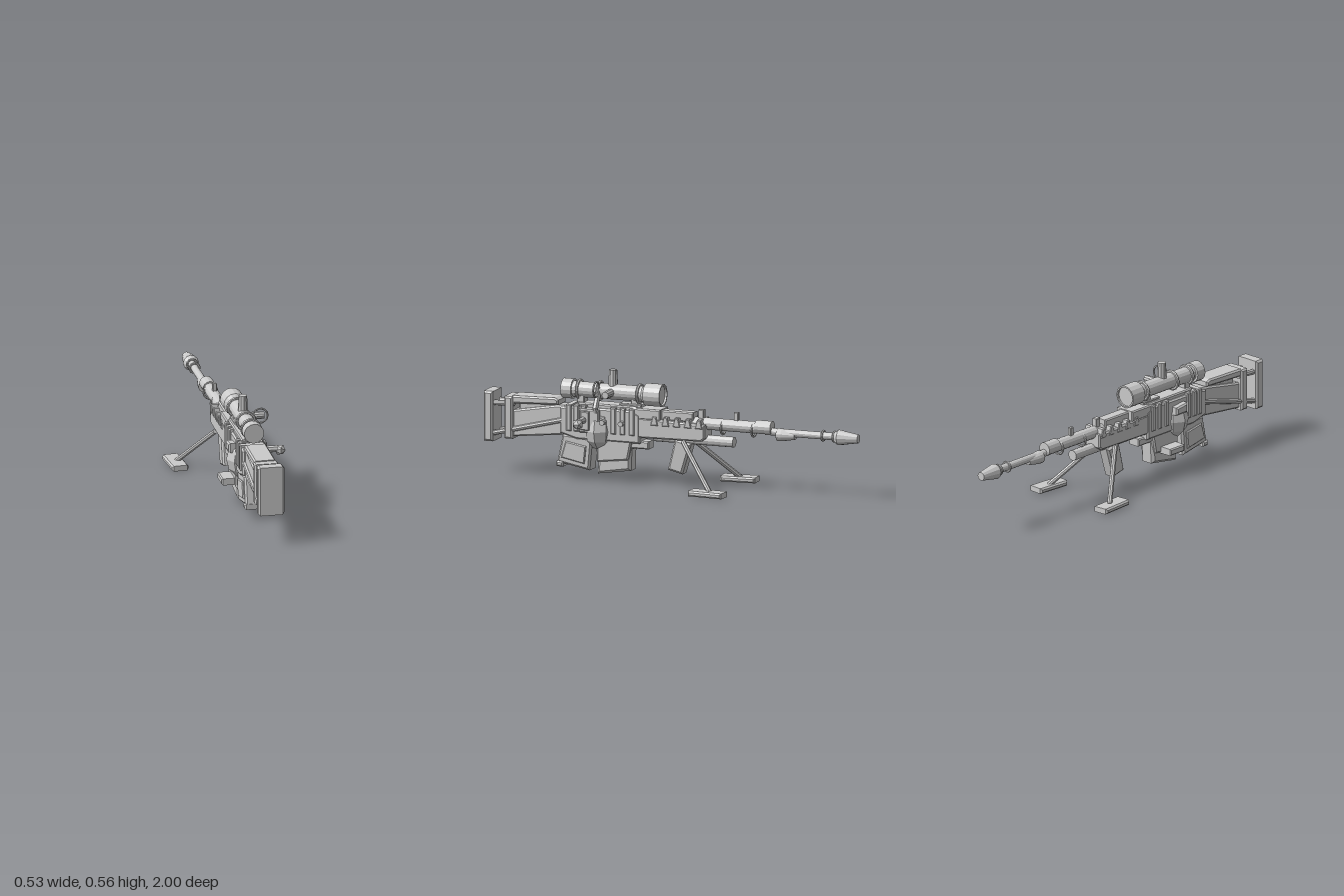
import * as THREE from 'three';

export function createModel() {
  const root = new THREE.Group();
  const mat = new THREE.MeshStandardMaterial({ color: 0xcccccc, flatShading: true });
  const add = (name, geo) => {
    const m = new THREE.Mesh(geo, mat);
    m.name = name;
    root.add(m);
    return m;
  };

  // chamfered slab: side profile in [z, y], spanning x0..x1
  const slab = (name, pts, x0, x1, b = 0.008) => {
    const shape = new THREE.Shape(pts.map(([z, y]) => new THREE.Vector2(z, y)));
    const g = new THREE.ExtrudeGeometry(shape, {
      depth: x1 - x0 - 2 * b, bevelEnabled: true, bevelSize: b, bevelThickness: b, bevelOffset: -b, bevelSegments: 1,
    });
    g.translate(0, 0, b - (x1 - x0) / 2).rotateY(-Math.PI / 2).translate((x0 + x1) / 2, 0, 0);
    return add(name, g);
  };
  const block = (name, x0, x1, y0, y1, z0, z1, b = 0.006) =>
    slab(name, [[z0, y0], [z1, y0], [z1, y1], [z0, y1]], x0, x1, b);

  // turned part along z: profile of [z, radius], listed with z falling
  const turned = (name, y, pts, seg = 14, x = 0) => {
    const g = new THREE.LatheGeometry(pts.map(([z, r]) => new THREE.Vector2(r, -z)), seg);
    return add(name, g.rotateX(-Math.PI / 2).translate(x, y, 0));
  };
  const tube = (name, y, z0, z1, r, seg = 14, x = 0) =>
    turned(name, y, [[z1, 0], [z1, r], [z0, r], [z0, 0]], seg, x);

  // straight rod between two points
  const rod = (name, a, b, r, seg = 8, r2 = r) => {
    const A = new THREE.Vector3(...a), B = new THREE.Vector3(...b);
    const m = add(name, new THREE.CylinderGeometry(r2, r, A.distanceTo(B), seg));
    m.position.copy(A).lerp(B, 0.5);
    m.quaternion.setFromUnitVectors(new THREE.Vector3(0, 1, 0), B.sub(A).normalize());
    return m;
  };
  const ring = (name, x, y, z, R, r) => add(name, new THREE.TorusGeometry(R, r, 6, 14).translate(x, y, z));

  // stock
  block('buttPad', -0.067, 0.067, 0.165, 0.42, 0.95, 1.0, 0.01);
  block('stockPlate', -0.062, 0.062, 0.185, 0.4, 0.845, 0.89, 0.008);
  slab('stockBody', [[0.85, 0.195], [0.56, 0.225], [0.56, 0.375], [0.62, 0.37], [0.85, 0.33]], -0.045, 0.045);
  slab('cheekRest', [[0.85, 0.365], [0.6, 0.375], [0.6, 0.4], [0.62, 0.41], [0.85, 0.405]], -0.055, 0.055);
  block('cheekRestPost', -0.03, 0.03, 0.31, 0.38, 0.62, 0.82);
  for (const s of [-1, 1]) {
    rod('stockUpperRod', [s * 0.04, 0.36, 0.96], [s * 0.04, 0.365, 0.84], 0.014);
    rod('stockLowerRod', [s * 0.046, 0.205, 0.96], [s * 0.046, 0.3, 0.58], 0.013);
  }

  // receiver
  slab('receiver', [[0.59, 0.235], [0.5, 0.21], [0.16, 0.21], [0.16, 0.355], [0.2, 0.375], [0.55, 0.375], [0.59, 0.365]], -0.058, 0.058);
  block('receiverTop', -0.045, 0.045, 0.36, 0.395, 0.18, 0.5);
  for (const z of [0.2, 0.25, 0.3, 0.46, 0.5, 0.54])
    block('receiverRib', -0.065, 0.065, 0.25, 0.385, z - 0.014, z + 0.014, 0.005);
  block('boltPlate', 0.055, 0.08, 0.25, 0.37, 0.37, 0.48);
  block('boltCover', 0.07, 0.093, 0.265, 0.36, 0.42, 0.465, 0.004);
  rod('boltArm', [0.05, 0.317, 0.45], [0.15, 0.317, 0.45], 0.018);
  add('boltKnob', new THREE.IcosahedronGeometry(0.029, 0).translate(0.163, 0.31, 0.45));
  for (const z of [0.25, 0.35])
    rod('sidePin', [0.05, 0.31, z], [0.092, 0.31, z], 0.014);

  // faceted side housing
  const housing = add('sideHousing', new THREE.SphereGeometry(1, 8, 6));
  housing.scale.set(0.1, 0.105, 0.08);
  housing.position.set(0, 0.258, 0.39);
  slab('housingNeck', [[0.42, 0.3], [0.34, 0.3], [0.34, 0.34], [0.42, 0.35]], -0.092, 0.06);
  block('sideShelf', -0.117, -0.03, 0.112, 0.147, 0.265, 0.37);

  // grip, magazine and fore grip
  slab('grip', [[0.61, 0.085], [0.435, 0.052], [0.42, 0.215], [0.58, 0.23]], -0.048, 0.048, 0.01);
  slab('gripPanel', [[0.585, 0.11], [0.46, 0.085], [0.45, 0.175], [0.56, 0.195]], -0.056, 0.056, 0.005);
  block('gripFoot', -0.053, 0.053, 0.062, 0.09, 0.575, 0.612, 0.008);
  slab('magazine', [[0.395, 0.038], [0.215, 0.065], [0.21, 0.22], [0.385, 0.22]], -0.043, 0.043, 0.014);
  slab('magazineWell', [[0.395, 0.1], [0.225, 0.12], [0.205, 0.225], [0.39, 0.225]], -0.052, 0.052);
  block('magazineCatch', -0.035, 0.035, 0.18, 0.22, 0.12, 0.22);
  slab('foreGrip', [[0.018, 0.085], [-0.06, 0.066], [-0.108, 0.225], [-0.02, 0.245]], -0.035, 0.035, 0.01);

  // handguard
  slab('handguard', [[0.18, 0.25], [0.16, 0.24], [-0.17, 0.245], [-0.19, 0.26], [-0.19, 0.33], [0.18, 0.345]], -0.056, 0.056);
  block('topCover', -0.055, 0.055, 0.335, 0.39, 0.05, 0.2);
  block('topRail', -0.03, 0.03, 0.335, 0.385, -0.12, 0.07);
  for (let i = 0; i < 5; i++) {
    const z = -0.16 + i * 0.06;
    slab('handguardRib', [[z - 0.02, 0.31], [z + 0.02, 0.31], [z + 0.01, 0.355], [z - 0.01, 0.355]], -0.06, 0.06, 0.004);
  }
  tube('lowerTube', 0.246, -0.33, 0.1, 0.027, 12);

  // barrel
  tube('barrelJacket', 0.33, -0.46, -0.1, 0.031);
  tube('barrelCollar', 0.334, -0.535, -0.45, 0.035);
  tube('barrel', 0.315, -0.9, -0.5, 0.019);
  turned('gasCone', 0.303, [[-0.565, 0], [-0.565, 0.033], [-0.59, 0.032], [-0.66, 0.02], [-0.66, 0]]);
  turned('muzzle', 0.313, [[-0.875, 0], [-0.875, 0.028], [-0.895, 0.04], [-1, 0.022], [-1, 0]], 12);
  for (const z of [-0.81, -0.87]) ring('barrelRing', 0, 0.315, z, 0.025, 0.006);
  for (const z of [-0.27, -0.435]) ring('jacketRing', 0, 0.318, z, 0.035, 0.006);
  block('frontSight', -0.01, 0.01, 0.35, 0.4, -0.355, -0.33, 0.003);
  block('middleSight', -0.014, 0.014, 0.33, 0.4, -0.17, -0.14, 0.003);

  // scope
  const sy = 0.455;
  tube('scopeTube', sy, 0.1, 0.56, 0.04, 16);
  tube('eyepiece', sy, 0.535, 0.59, 0.051, 16);
  turned('objective', sy, [[0.16, 0.04], [0.143, 0.058], [0.055, 0.058], [0.055, 0.05], [0.065, 0.05], [0.065, 0]], 16);
  for (const z of [0.505, 0.18, 0.395]) ring('scopeRing', 0, sy, z, 0.046, 0.008);
  for (const z of [0.49, 0.2]) block('scopeFoot', -0.025, 0.025, 0.38, 0.43, z - 0.02, z + 0.02, 0.004);
  block('scopeBase', -0.03, 0.03, 0.385, 0.405, 0.16, 0.28, 0.004);
  rod('elevationTurret', [0, sy, 0.325], [0, 0.568, 0.325], 0.027, 10, 0.021);
  rod('windageTurret', [0.02, 0.455, 0.325], [0.108, 0.455, 0.325], 0.021, 10, 0.018);
  ring('sideLoop', 0.075, 0.475, 0.387, 0.038, 0.005);
  rod('mountArm', [0.04, 0.445, 0.39], [0.08, 0.375, 0.39], 0.015, 6);
  rod('mountArmBase', [0.08, 0.385, 0.39], [0.06, 0.33, 0.39], 0.013, 6);

  // bipod
  for (const s of [-1, 1]) {
    rod('bipodLeg', [s * 0.055, 0.24, -0.075], [s * 0.208, 0.025, -0.28], 0.013);
    const foot = block('bipodFoot', -0.043, 0.043, 0.004, 0.032, -0.092, 0.092, 0.008);
    foot.position.set(s * 0.215, 0, -0.272);
    foot.rotation.y = -s * 0.07;
  }
  return root;
}
